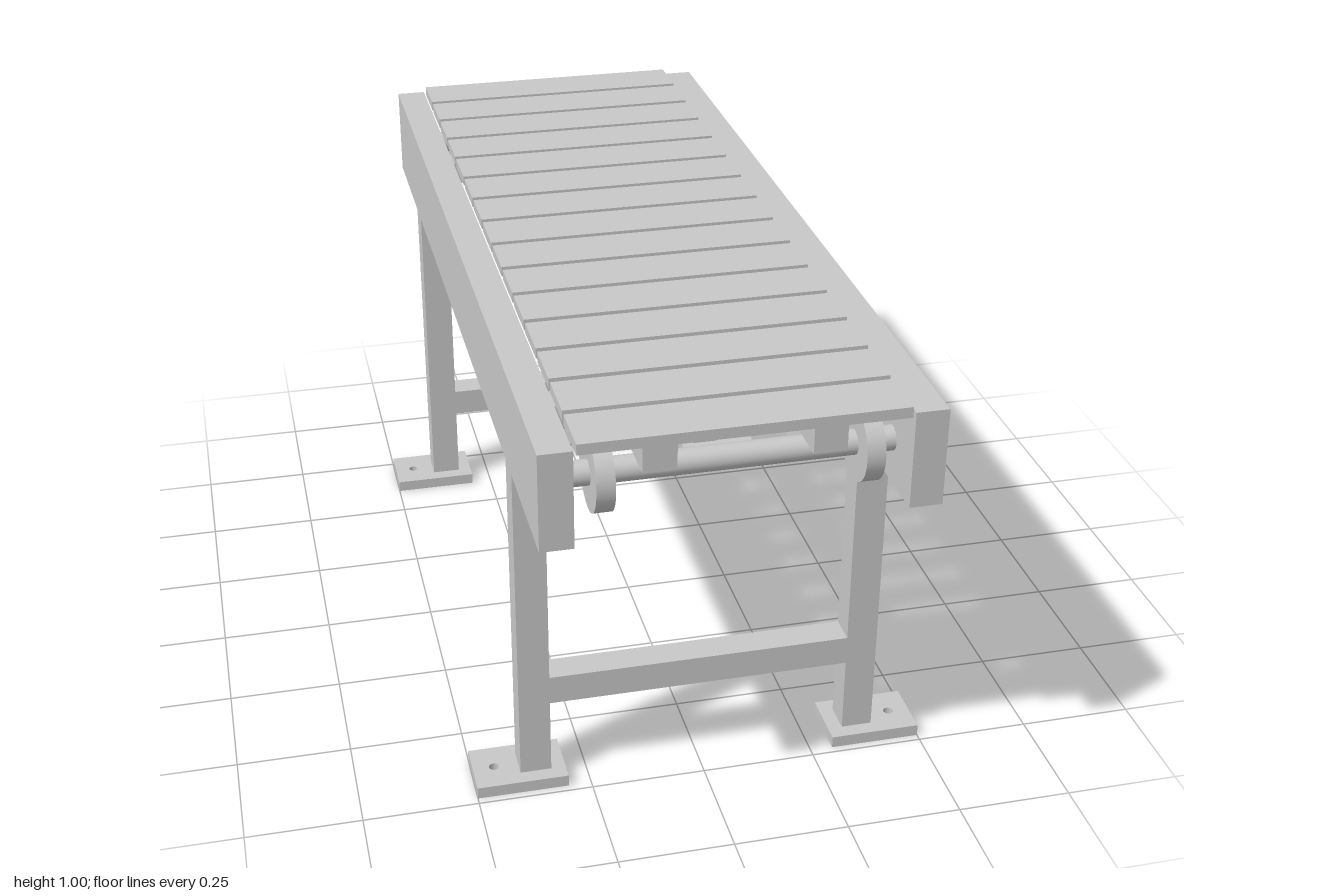
import * as THREE from 'three';

export function createModel() {
  const model = new THREE.Group();
  model.name = 'slatConveyor';
  const steel = new THREE.MeshStandardMaterial({ color: 0xc8c8c8 });
  steel.name = 'light grey steel';

  function add(name, geometry, x, y, z, parent = model) {
    const mesh = new THREE.Mesh(geometry, steel);
    mesh.name = name;
    mesh.position.set(x, y, z);
    parent.add(mesh);
    return mesh;
  }
  // Box given by its min and max on each axis
  function box(name, x0, x1, y0, y1, z0, z1, parent) {
    return add(name, new THREE.BoxGeometry(x1 - x0, y1 - y0, z1 - z0),
      (x0 + x1) / 2, (y0 + y1) / 2, (z0 + z1) / 2, parent);
  }
  // Cylinder lying along x
  function roller(name, radius, length, x, y, z, parent) {
    const g = new THREE.CylinderGeometry(radius, radius, length, 40).rotateZ(Math.PI / 2);
    return add(name, g, x, y, z, parent);
  }

  // Foot plate with an offset bolt hole; side is +1 or -1
  function footPlate(side) {
    const s = new THREE.Shape([
      new THREE.Vector2(-0.1, -0.0665), new THREE.Vector2(0.1, -0.0665),
      new THREE.Vector2(0.1, 0.0665), new THREE.Vector2(-0.1, 0.0665),
    ]);
    const hole = new THREE.Path();
    hole.absarc(side * 0.053, 0, 0.011, 0, Math.PI * 2, true);
    s.holes.push(hole);
    return new THREE.ExtrudeGeometry(s, { depth: 0.027, bevelEnabled: false, curveSegments: 20 })
      .rotateX(-Math.PI / 2);
  }

  // Slats across the top
  const slats = new THREE.Group();
  slats.name = 'slats';
  model.add(slats);
  const pitch = 0.1343;
  for (let i = -7; i <= 7; i++) {
    box('slat', -0.326, 0.326, 0.977, 1, i * pitch - 0.0595, i * pitch + 0.0595, slats);
  }

  // Side rails and the runners under the slats
  for (const s of [-1, 1]) {
    box('sideRail', s * 0.366 - 0.034, s * 0.366 + 0.034, 0.777, 0.987, -1, 1);
    box('runner', s * 0.1665 - 0.0335, s * 0.1665 + 0.0335, 0.92, 0.977, -0.995, 0.995);
  }

  for (const e of [-1, 1]) {
    // Leg frame at each end
    const frame = new THREE.Group();
    frame.name = e > 0 ? 'frontLegFrame' : 'backLegFrame';
    model.add(frame);
    const z = e * 0.667, h = 0.0335;
    for (const s of [-1, 1]) {
      box('leg', s * 0.366 - 0.034, s * 0.366 + 0.034, 0.027, 0.777, z - h, z + h, frame);
      add('footPlate', footPlate(s), s * 0.4, 0, z, frame);
    }
    box('lowerCrossbar', -0.332, 0.332, 0.202, 0.268, z - h, z + h, frame);
    box('upperCrossbar', -0.332, 0.332, 0.867, 0.92, z - h, z + h, frame);

    // Shaft with a wheel near each side
    const axle = new THREE.Group();
    axle.name = e > 0 ? 'frontAxle' : 'backAxle';
    model.add(axle);
    roller('shaft', 0.026, 0.65, 0, 0.881, e * 0.9, axle);
    for (const s of [-1, 1]) roller('wheel', 0.08, 0.038, s * 0.266, 0.881, e * 0.9, axle);
  }
  return model;
}
